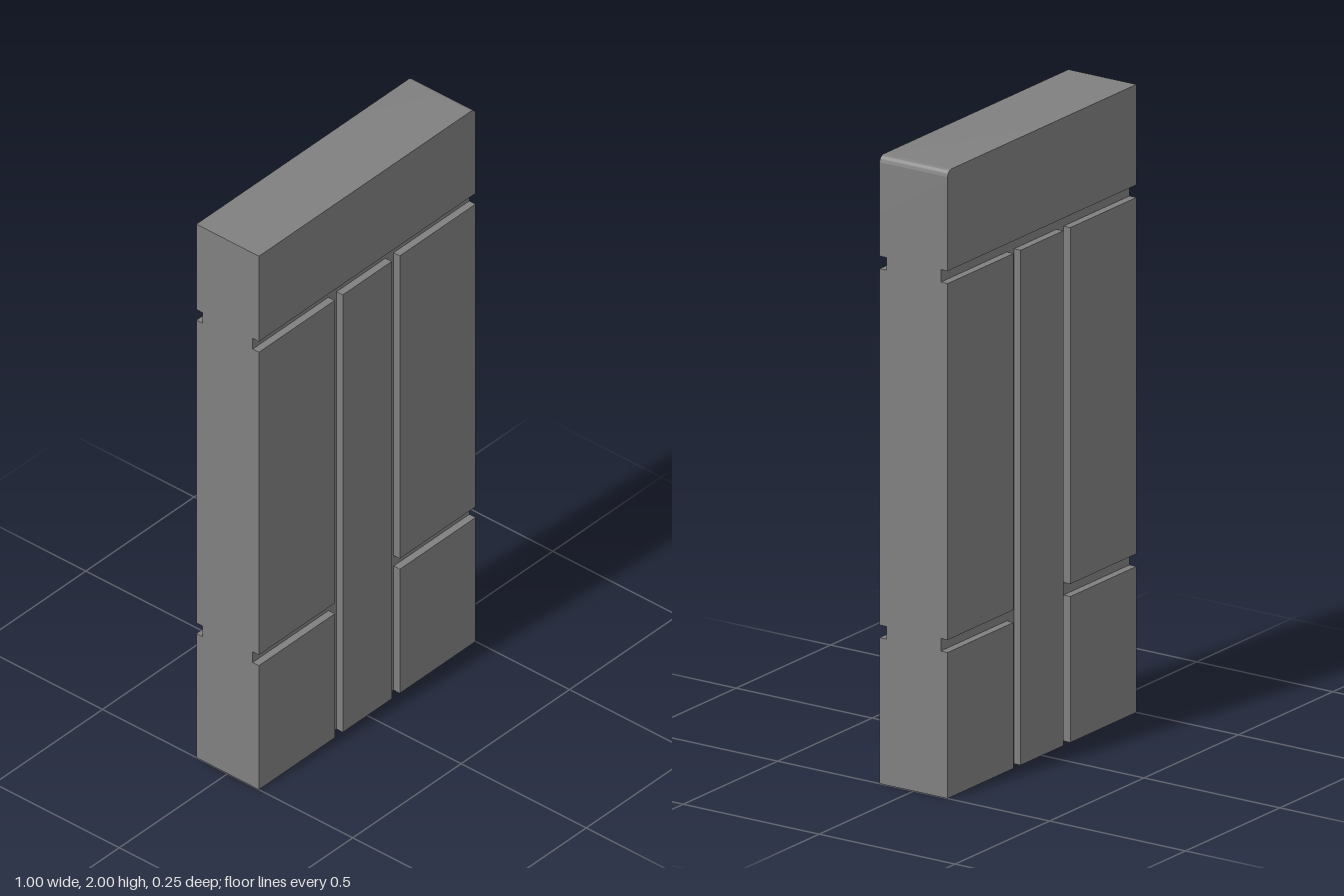
import * as THREE from 'three';
import { toCreasedNormals } from 'three/addons/utils/BufferGeometryUtils.js';

const W = 0.5, FACE = 0.25, BED = 0.2;        // half width, full depth, depth at groove floors
const IN = 0.113, OUT = 0.15;                 // vertical groove edges
const LOW0 = 0.465, LOW1 = 0.505;             // lower groove
const TOP0 = 1.64, TOP1 = 1.68;               // upper groove

export function createModel() {
  const group = new THREE.Group();
  const material = new THREE.MeshStandardMaterial({ color: 0x808080 });

  const add = (name, geometry) => {
    const mesh = new THREE.Mesh(geometry, material);
    mesh.name = name;
    group.add(mesh);
    return mesh;
  };
  const block = (name, x0, x1, y0, y1, depth) => {
    const mesh = add(name, new THREE.BoxGeometry(x1 - x0, y1 - y0, depth));
    mesh.position.set((x0 + x1) / 2, (y0 + y1) / 2, 0);
  };

  // Top rail with one rounded upper corner
  const r = 0.022;
  const outline = new THREE.Shape();
  outline.moveTo(-W, TOP1);
  outline.lineTo(W, TOP1);
  outline.lineTo(W, 2 - r);
  outline.absarc(W - r, 2 - r, r, 0, Math.PI / 2, false);
  outline.lineTo(-W, 2);
  outline.closePath();
  const rail = new THREE.ExtrudeGeometry(outline, { depth: FACE, bevelEnabled: false, curveSegments: 8 });
  rail.translate(0, 0, -FACE / 2);
  add('topRail', toCreasedNormals(rail, 0.6));

  // Centre panel and the groove under the rail
  block('centrePanel', -IN, IN, 0, TOP0, FACE);
  block('topGroove', -W, W, TOP0, TOP1, BED);

  // Side panels and grooves, mirrored
  for (const [side, s] of [['left', 1], ['right', -1]]) {
    const sideBlock = (part, a, b, y0, y1, depth) =>
      block(side + part, Math.min(s * a, s * b), Math.max(s * a, s * b), y0, y1, depth);
    sideBlock('LowerPanel', OUT, W, 0, LOW0, FACE);
    sideBlock('UpperPanel', OUT, W, LOW1, TOP0, FACE);
    sideBlock('LowerGroove', OUT, W, LOW0, LOW1, BED);
    sideBlock('VerticalGroove', IN, OUT, 0, TOP0, BED);
  }
  return group;
}
